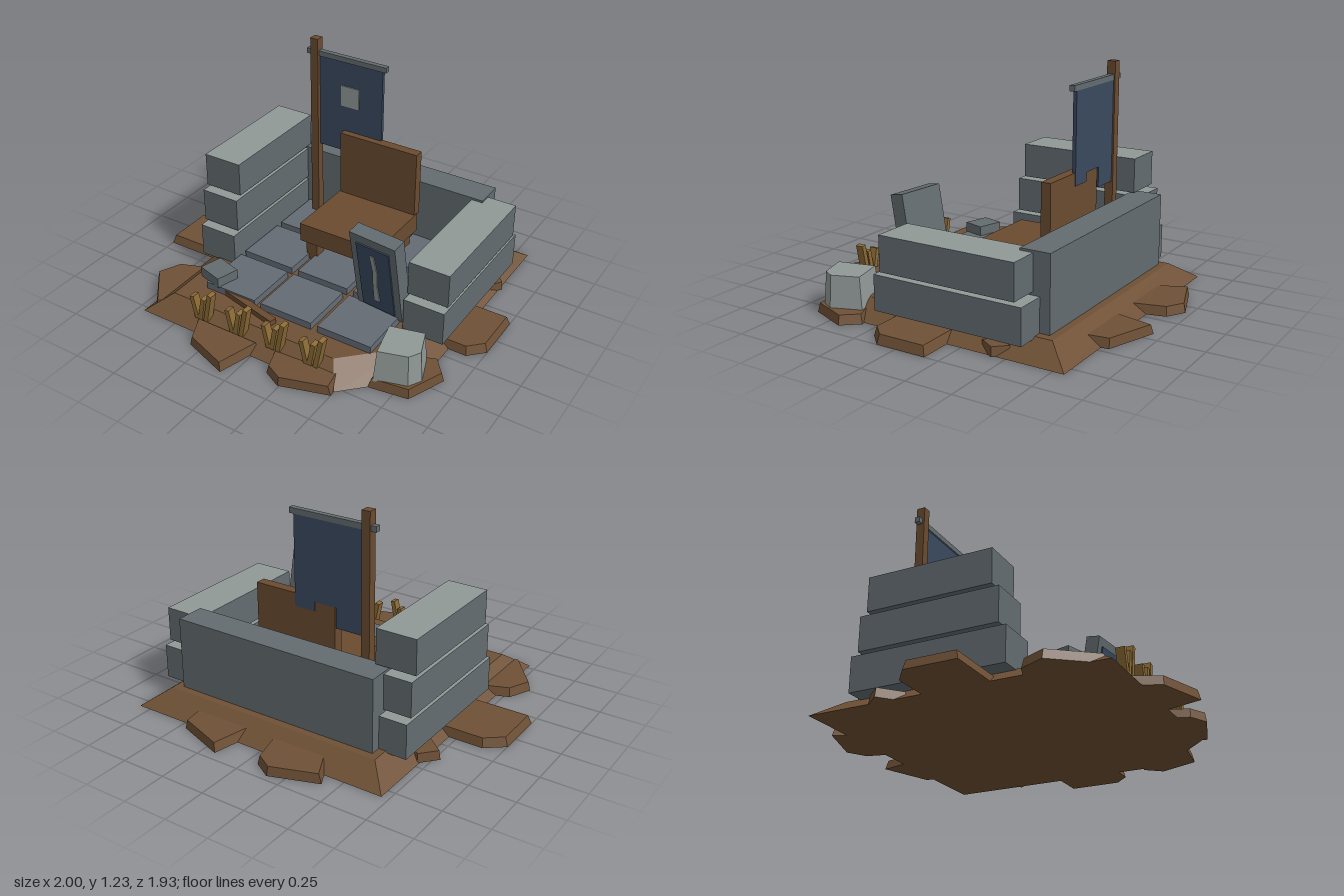
import * as THREE from 'three';
import { ConvexGeometry } from 'three/addons/geometries/ConvexGeometry.js';

function mat(name, color, flat = false) {
  const m = new THREE.MeshStandardMaterial({ color, flatShading: flat });
  m.name = name;
  return m;
}

export function createModel() {
  const earth = mat('earth', 0x6e5035);
  const wood = mat('wood', 0x6a4b2f);
  const stone = mat('stone', 0x636c70);
  const paleStone = mat('paleStone', 0x909997);
  const tile = mat('tile', 0x636b74);
  const cloth = mat('cloth', 0x3a495f);
  const straw = mat('straw', 0x8c6b36);

  const root = new THREE.Group();
  root.name = 'ruin';

  function add(parent, name, geometry, material) {
    const mesh = new THREE.Mesh(geometry, material);
    mesh.name = name;
    parent.add(mesh);
    return mesh;
  }
  // Box given by its extents along x, y and z
  function box(name, [x0, x1], [y0, y1], [z0, z1], material, parent = root) {
    const mesh = add(parent, name, new THREE.BoxGeometry(x1 - x0, y1 - y0, z1 - z0), material);
    mesh.position.set((x0 + x1) / 2, (y0 + y1) / 2, (z0 + z1) / 2);
    return mesh;
  }
  // Convex solid between a lower and an upper outline of [x, z] points
  function loft(name, lower, upper, y0, y1, material) {
    const points = [
      ...lower.map(([x, z]) => new THREE.Vector3(x, y0, z)),
      ...upper.map(([x, z]) => new THREE.Vector3(x, y1, z)),
    ];
    return add(root, name, new ConvexGeometry(points), material);
  }
  function shrink(outline, s) {
    const cx = outline.reduce((a, p) => a + p[0], 0) / outline.length;
    const cz = outline.reduce((a, p) => a + p[1], 0) / outline.length;
    return outline.map(([x, z]) => [cx + (x - cx) * s, cz + (z - cz) * s]);
  }

  // Earth mound with one clipped corner
  loft('mound',
    [[-0.71, -0.81], [0.82, -0.81], [0.82, 0.46], [0.5, 0.78], [-0.71, 0.78]],
    [[-0.59, -0.68], [0.7, -0.68], [0.7, 0.38], [0.42, 0.66], [-0.59, 0.66]],
    0, 0.09, earth);

  // Clods around the rim
  const clods = [
    [[-1, -0.09], [-0.9, -0.17], [-0.55, -0.17], [-0.55, 0.19], [-1, 0.19]],
    [[1, -0.17], [1, 0.11], [0.92, 0.19], [0.55, 0.19], [0.55, -0.17]],
    [[-0.42, -0.88], [-0.16, -0.97], [-0.06, -0.91], [-0.01, -0.72], [-0.34, -0.72]],
    [[0.13, -0.72], [0.18, -0.95], [0.46, -0.85], [0.48, -0.72]],
    [[-0.39, 0.72], [-0.32, 0.87], [-0.06, 0.96], [0.01, 0.72]],
    [[0.1, 0.72], [0.14, 0.84], [0.24, 0.89], [0.5, 0.81], [0.48, 0.7]],
    [[-0.84, 0.51], [-0.78, 0.38], [-0.65, 0.33], [-0.57, 0.42], [-0.58, 0.68], [-0.66, 0.74]],
    [[-0.78, -0.38], [-0.7, -0.47], [-0.6, -0.4], [-0.66, -0.28]],
    [[0.835, -0.43], [0.77, -0.5], [0.7, -0.4], [0.78, -0.34]],
    [[0.84, 0.33], [0.915, 0.42], [0.83, 0.63], [0.62, 0.66], [0.6, 0.42]],
  ];
  for (const outline of clods) loft('clod', outline, shrink(outline, 0.92), 0, 0.05, earth);

  // Paved floor, three by three
  for (let i = 0; i < 3; i++) {
    for (let j = 0; j < 3; j++) {
      const x = -0.47 + i * 0.355, z = -0.48 + j * 0.35;
      box('floorTile', [x, x + 0.315], [0.07, 0.13], [z, z + 0.31], tile);
    }
  }

  // Stepped side walls with pale upper faces, and a plain back wall
  const block = [stone, stone, paleStone, stone, stone, stone];
  function sideWall(name, xs, courses) {
    for (let k = 0; k < courses; k++) {
      const y = 0.08 + k * 0.208, inset = k * 0.038;
      box(name, xs, [y, y + 0.19], [-0.585 + inset, 0.265 - inset], block);
    }
  }
  sideWall('rightWallBlock', [-0.705, -0.48], 3);
  sideWall('leftWallBlock', [0.59, 0.82], 2);
  box('backWall', [-0.55, 0.655], [0.08, 0.49], [-0.64, -0.475], stone);

  // Wooden seat
  box('seatBack', [-0.19, 0.295], [0.32, 0.71], [-0.43, -0.375], wood);
  box('seat', [-0.195, 0.3], [0.22, 0.33], [-0.4, 0.035], wood);
  for (const x of [-0.17, 0.2]) {
    for (const z of [-0.38, -0.06]) box('seatLeg', [x, x + 0.07], [0.1, 0.23], [z, z + 0.07], wood);
  }

  // Banner on its post, with a ragged lower edge
  box('bannerPost', [-0.4, -0.352], [0.08, 1.23], [-0.442, -0.394], wood);
  box('bannerBar', [-0.43, 0.075], [1.13, 1.16], [-0.435, -0.405], stone);
  const ragged = new THREE.Shape([
    [-0.35, 1.14], [-0.35, 0.58], [-0.2, 0.58], [-0.2, 0.69], [-0.07, 0.69],
    [-0.07, 0.64], [0.05, 0.64], [0.05, 1.14],
  ].map(([x, y]) => new THREE.Vector2(x, y)));
  const banner = add(root, 'banner',
    new THREE.ExtrudeGeometry(ragged, { depth: 0.02, bevelEnabled: false }), cloth);
  banner.position.z = -0.434;
  box('bannerPatch', [-0.208, -0.095], [0.863, 0.985], [-0.415, -0.408], paleStone);

  // Slab leaning forward, with an inlaid panel and a cracked strip
  const slab = new THREE.Group();
  slab.name = 'leaningSlab';
  slab.position.set(0.445, 0.12, 0.2);
  slab.rotation.set(0.18, -0.1, 0, 'YXZ');
  root.add(slab);
  box('slabBody', [-0.14, 0.14], [0, 0.5], [-0.04, 0.04], stone, slab);
  box('slabPanel', [-0.1, 0.1], [0.03, 0.45], [0.038, 0.048], cloth, slab);
  const crack = new THREE.Shape([
    [-0.02, 0.09], [0.016, 0.09], [0.01, 0.2], [0.02, 0.28], [0.008, 0.4],
    [-0.018, 0.4], [-0.008, 0.3], [-0.016, 0.2],
  ].map(([x, y]) => new THREE.Vector2(x, y)));
  const strip = add(slab, 'slabStrip',
    new THREE.ExtrudeGeometry(crack, { depth: 0.006, bevelEnabled: false }), paleStone);
  strip.position.z = 0.047;

  // Boulder at the clipped corner
  const boulder = [[0.585, 0.42], [0.79, 0.37], [0.85, 0.53], [0.81, 0.6], [0.64, 0.65]];
  loft('boulder', boulder, shrink(boulder, 0.88), 0.04, 0.22, paleStone);

  // Loose brick and fallen stick
  const brick = box('looseBrick', [-0.517, -0.365], [0.125, 0.185], [0.39, 0.52], stone);
  brick.rotation.y = -0.28;
  const stick = box('fallenStick', [-0.35, 0.02], [0.085, 0.12], [0.535, 0.575], wood);
  stick.rotation.y = -0.24;

  // Tufts of dry grass along the front: [base x, top x, top y]
  const blades = [[-0.03, -0.058, 0.18], [-0.01, 0.015, 0.185], [0.025, 0.06, 0.225]];
  for (let t = 0; t < 4; t++) {
    const tuft = new THREE.Group();
    tuft.name = 'grassTuft';
    tuft.position.set(-0.355 + t * 0.228, 0.05, 0.705);
    root.add(tuft);
    for (const [x0, x1, top] of blades) {
      const h = top - 0.05;
      const blade = add(tuft, 'grassBlade', new THREE.BoxGeometry(0.026, Math.hypot(h, x1 - x0), 0.045), straw);
      blade.position.set((x0 + x1) / 2, h / 2, 0);
      blade.rotation.z = -Math.atan2(x1 - x0, h);
    }
  }

  return root;
}
